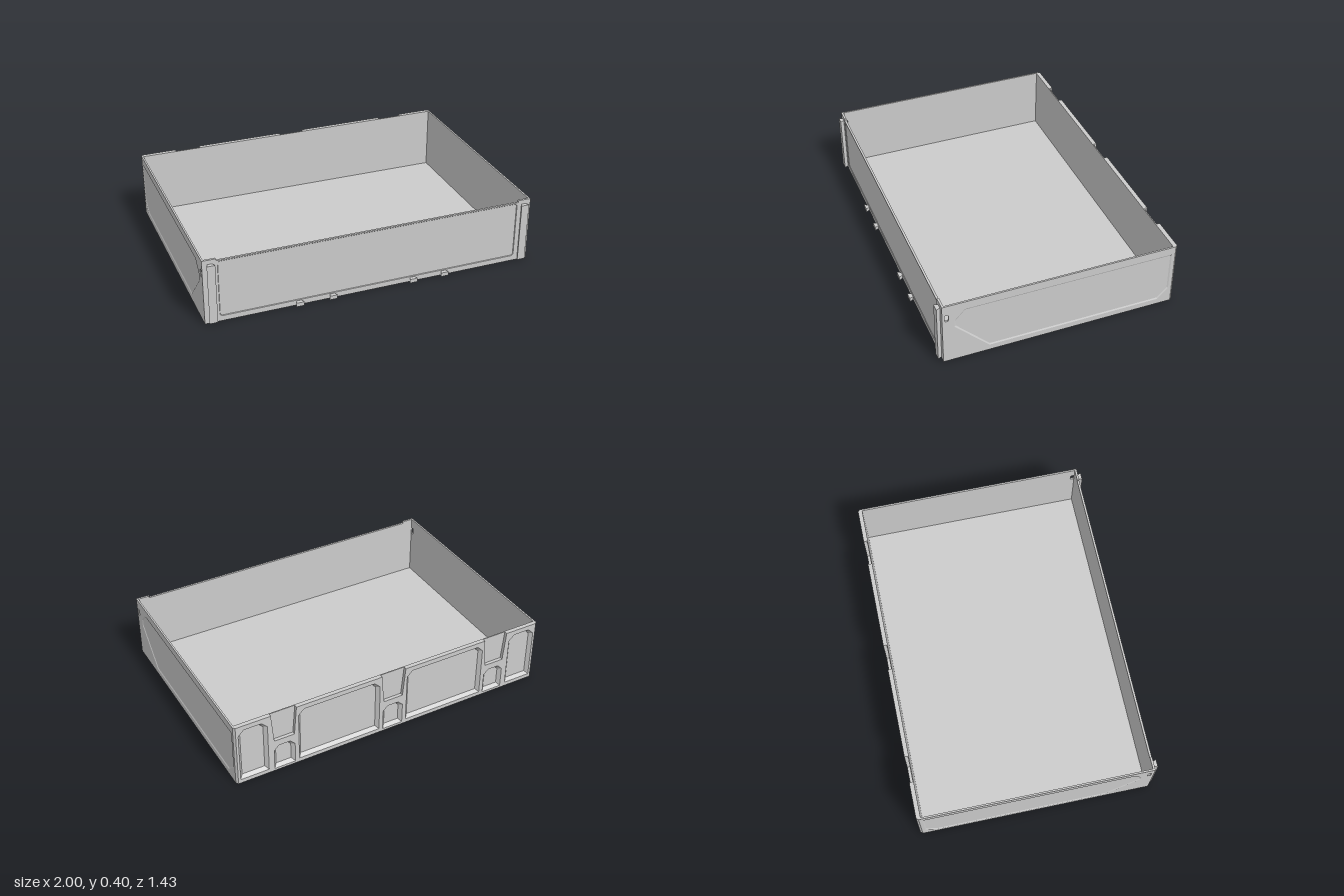
import * as THREE from 'three';

const material = new THREE.MeshStandardMaterial({ color: 0xcccccc, flatShading: true });
const doubleSided = new THREE.MeshStandardMaterial({ color: 0xcccccc, flatShading: true, side: THREE.DoubleSide });
const toVectors = (pts) => pts.map(([x, y]) => new THREE.Vector2(x, y));

// Counter-clockwise rectangle with separate chamfers at bottom and top
function chamferRect(x0, y0, x1, y1, bottom, top) {
  const pts = [];
  if (bottom) pts.push([x0, y0 + bottom], [x0 + bottom, y0], [x1 - bottom, y0], [x1, y0 + bottom]);
  else pts.push([x0, y0], [x1, y0]);
  if (top) pts.push([x1, y1 - top], [x1 - top, y1], [x0 + top, y1], [x0, y1 - top]);
  else pts.push([x1, y1], [x0, y1]);
  return pts;
}

// Moves every edge of a counter-clockwise outline inward by b
function inset(pts, b) {
  const n = pts.length;
  const normal = (p, q) => {
    const l = Math.hypot(q[0] - p[0], q[1] - p[1]);
    return [(p[1] - q[1]) / l, (q[0] - p[0]) / l];
  };
  return pts.map((p, i) => {
    const a = normal(pts[(i + n - 1) % n], p);
    const c = normal(p, pts[(i + 1) % n]);
    const k = b / (1 + a[0] * c[0] + a[1] * c[1]);
    return [p[0] + k * (a[0] + c[0]), p[1] + k * (a[1] + c[1])];
  });
}

// Sheet with holes, lying between z0 and z1
function sheet(outline, holes, z0, z1) {
  const shape = new THREE.Shape(toVectors(outline));
  holes.forEach((h) => shape.holes.push(new THREE.Path(toVectors(h))));
  return new THREE.ExtrudeGeometry(shape, { depth: z1 - z0, bevelEnabled: false }).translate(0, 0, z0);
}

// Sloping border of a recess
function slope(outer, bevel, depth) {
  const inner = inset(outer, bevel);
  const pos = [];
  outer.forEach((p, i) => {
    const j = (i + 1) % outer.length;
    const a = [...p, 0], b = [...outer[j], 0];
    const c = [...inner[j], -depth], d = [...inner[i], -depth];
    pos.push(...a, ...b, ...c, ...a, ...c, ...d);
  });
  const g = new THREE.BufferGeometry();
  g.setAttribute('position', new THREE.Float32BufferAttribute(pos, 3));
  g.computeVertexNormals();
  return g;
}

// Upright prism from a plan outline in x and z
function prism(plan, y0, y1) {
  const shape = new THREE.Shape(toVectors(plan.map(([x, z]) => [x, -z])));
  return new THREE.ExtrudeGeometry(shape, { depth: y1 - y0, bevelEnabled: false })
    .rotateX(-Math.PI / 2).translate(0, y0, 0);
}

function add(parent, name, geometry, mat = material) {
  const mesh = new THREE.Mesh(geometry, mat);
  mesh.name = name;
  parent.add(mesh);
  return mesh;
}

// Wall whose outer face is at local z = 0, with recesses cut into that face
function wall(name, { face, body = face, recesses, holes = [], bevel, depth, thickness }) {
  const g = new THREE.Group();
  g.name = name;
  add(g, name + 'Face', sheet(face, [...recesses, ...holes], -depth, 0));
  add(g, name + 'Body', sheet(body, holes, -thickness, -depth));
  recesses.forEach((r) => add(g, name + 'RecessEdge', slope(r, bevel, depth), doubleSided));
  return g;
}

export function createModel() {
  const model = new THREE.Group();
  model.name = 'drawerTray';
  const H = 0.4, T = 0.0105, FRONT = 0.69, BACK = -0.713;

  // Floor
  add(model, 'floor', new THREE.BoxGeometry(1.979, 0.01, 1.385).translate(0, 0.005, -0.005));

  // Side walls with an angled recessed panel and a small slot near the front
  const panel = [[0.62, 0.285], [0.56, 0.35], [-0.68, 0.35], [-0.68, 0.1], [-0.615, 0.035], [0.42, 0.035], [0.62, 0.24]];
  const slot = chamferRect(0.653, 0.293, 0.675, 0.335, 0.004, 0.004);
  const flip = (pts) => pts.map(([x, y]) => [-x, y]).reverse();
  for (const s of [1, -1]) {
    const turn = s > 0 ? flip : (pts) => pts;
    const side = wall(s > 0 ? 'leftSide' : 'rightSide', {
      face: turn([[-0.7, 0], [FRONT, 0], [FRONT, H], [-0.7, H]]),
      recesses: [turn(panel)], holes: [turn(slot)],
      bevel: 0.008, depth: 0.004, thickness: T,
    });
    side.rotation.y = s * Math.PI / 2;
    side.position.x = s;
    model.add(side);

    // Chamfered rear corner
    const corner = [[s * 0.9895, -0.7], [s, -0.7], [s * 0.9895, BACK]];
    add(model, 'rearCorner', prism(corner, 0, H));
  }

  // Front wall, lower between the corner posts
  const e = 0.9895, cut = 0.92, low = 0.388;
  const frontOutline = [[-e, 0], [e, 0], [e, H], [cut, H], [cut, low], [-cut, low], [-cut, H], [-e, H]];
  const frame = chamferRect(-0.913, 0.032, 0.913, 0.382, 0.012, 0.012);
  const front = wall('front', {
    face: frontOutline, recesses: [frame], bevel: 0.003, depth: 0.003, thickness: 0.0035,
  });
  front.position.z = FRONT;
  model.add(front);
  const frontPanel = wall('frontPanel', {
    face: frontOutline,
    recesses: [chamferRect(-0.895, 0.053, 0.895, 0.37, 0.05, 0.05)],
    bevel: 0.008, depth: 0.004, thickness: 0.0095,
  });
  frontPanel.position.z = FRONT - 0.0035;
  model.add(frontPanel);

  // Back wall with deep bevelled recesses and three open-topped connector slots
  const slots = [-0.7, 0, 0.7], backTop = [];
  [...slots].reverse().forEach((x) => {
    backTop.push([x + 0.078, H], [x + 0.062, 0.215], [x - 0.062, 0.215], [x - 0.078, H]);
  });
  const recesses = slots.map((x) => chamferRect(x - 0.065, 0.015, x + 0.065, 0.175, 0, 0.03));
  for (const [a, b] of [[-0.975, -0.8], [-0.61, -0.09], [0.09, 0.61], [0.8, 0.975]]) {
    recesses.push(chamferRect(a, 0.025, b, 0.37, 0, 0.035));
  }
  const back = wall('back', {
    face: [[-e, 0], [e, 0], [e, H], ...backTop, [-e, H]],
    body: [[-e, 0], [e, 0], [e, H], [-e, H]],
    recesses, bevel: 0.018, depth: 0.02, thickness: 0.026,
  });
  back.rotation.y = Math.PI;
  back.position.z = BACK;
  model.add(back);

  // Dovetail rails on the front: tall at the corners, short along the bottom
  const dovetail = (x) => [[x - 0.013, FRONT - 0.002], [x - 0.024, 0.713], [x + 0.024, 0.713], [x + 0.013, FRONT - 0.002]];
  for (const s of [1, -1]) {
    add(model, 'cornerRail', prism(dovetail(s * 0.955), 0.01, 0.374));
    for (const x of [0.25, 0.45]) add(model, 'bottomTab', prism(dovetail(s * x), 0.003, 0.027));
  }
  return model;
}
